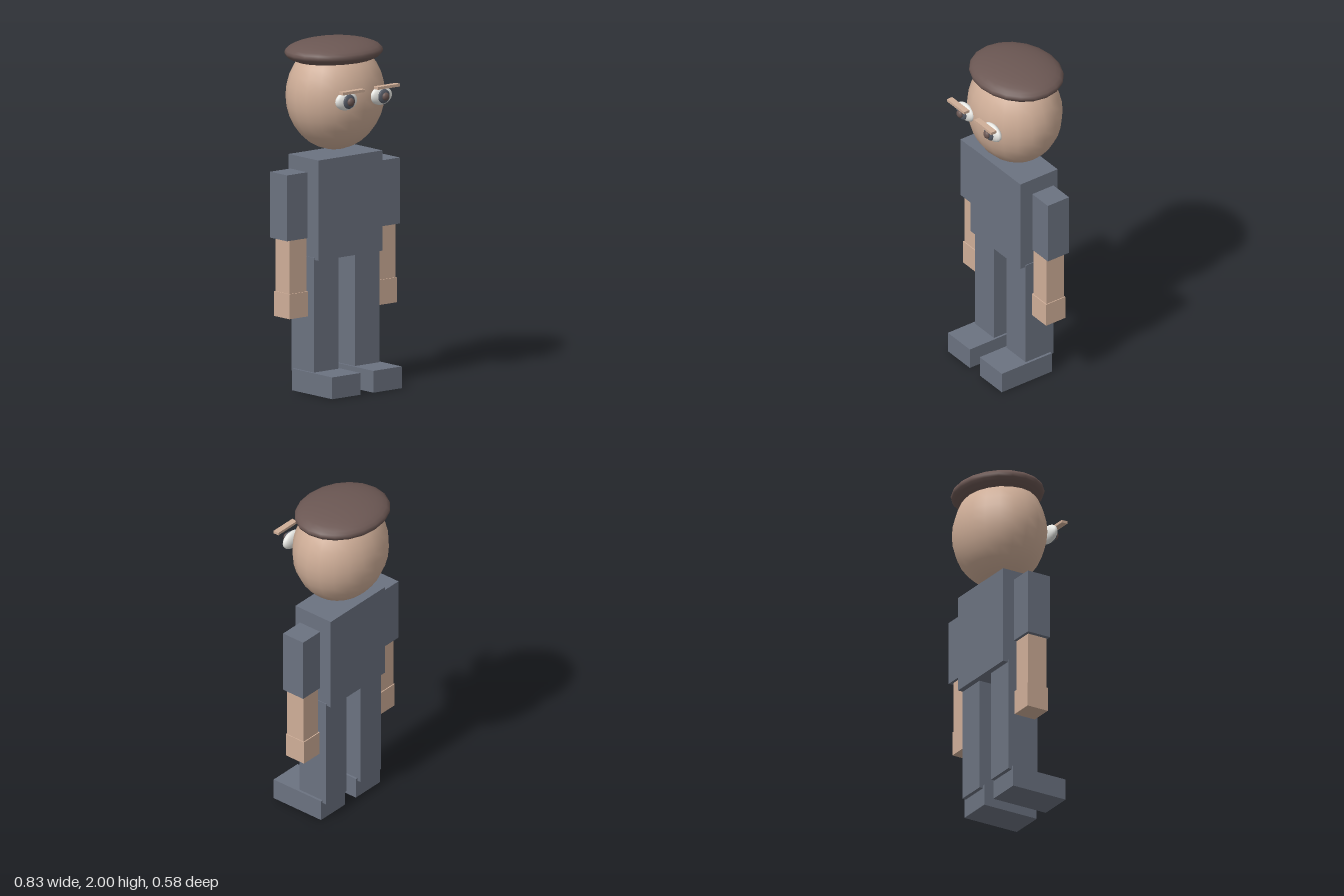
import * as THREE from 'three';

const mat = (name, color) => {
  const m = new THREE.MeshStandardMaterial({ color });
  m.name = name;
  return m;
};

export function createModel() {
  const model = new THREE.Group();
  model.name = 'figure';

  const cloth = mat('slate cloth', 0x6b7280);
  const skin = mat('skin', 0xcfae98);
  const brown = mat('dark brown', 0x6b5753);
  const white = mat('eye white', 0xe8e8e4);
  const iris = mat('iris grey', 0x565b66);

  // box given by its lower and upper limits on each axis
  const box = (name, m, x, y, z) => {
    const mesh = new THREE.Mesh(
      new THREE.BoxGeometry(x[1] - x[0], y[1] - y[0], z[1] - z[0]), m);
    mesh.position.set((x[0] + x[1]) / 2, (y[0] + y[1]) / 2, (z[0] + z[1]) / 2);
    mesh.name = name;
    model.add(mesh);
  };

  // stretched ball given by centre and radii
  const ball = (name, m, c, r) => {
    const geo = new THREE.SphereGeometry(1, 20, 16);
    geo.scale(...r);
    // recompute the normals smoothly for the stretched shape
    const n = geo.attributes.normal, p = geo.attributes.position;
    const v = new THREE.Vector3();
    for (let i = 0; i < p.count; i++) {
      v.set(p.getX(i) / r[0] ** 2, p.getY(i) / r[1] ** 2, p.getZ(i) / r[2] ** 2).normalize();
      n.setXYZ(i, v.x, v.y, v.z);
    }
    const mesh = new THREE.Mesh(geo, m);
    mesh.position.set(...c);
    mesh.name = name;
    model.add(mesh);
  };

  // head, hat and torso
  ball('head', skin, [0, 1.68, -0.028], [0.295, 0.315, 0.258]);
  ball('hat', brown, [0, 1.925, -0.041], [0.297, 0.075, 0.251]);
  box('torso', cloth, [-0.236, 0.236], [0.77, 1.345], [-0.155, 0.105]);

  // mirrored parts
  for (const [side, s] of [['left', 1], ['right', -1]]) {
    const span = (a, b) => (s > 0 ? [a, b] : [-b, -a]);

    // eye and brow
    ball(side + 'Eye', white, [s * 0.128, 1.69, 0.22], [0.077, 0.053, 0.03]);
    ball(side + 'Iris', iris, [s * 0.128, 1.69, 0.246], [0.041, 0.041, 0.014]);
    ball(side + 'Pupil', brown, [s * 0.128, 1.69, 0.262], [0.023, 0.023, 0.015]);
    box(side + 'Brow', skin, span(0.047, 0.21), [1.742, 1.758], [0.254, 0.29]);

    // arm
    box(side + 'Sleeve', cloth, span(0.267, 0.415), [0.895, 1.273], [-0.103, 0.045]);
    box(side + 'Forearm', skin, span(0.267, 0.39), [0.58, 0.9], [-0.086, 0.036]);
    box(side + 'Hand', skin, span(0.258, 0.395), [0.445, 0.588], [-0.092, 0.042]);

    // leg
    box(side + 'Leg', cloth, span(0.06, 0.241), [0.108, 0.782], [-0.123, 0.072]);
    box(side + 'Foot', cloth, span(0.047, 0.256), [0, 0.125], [-0.1, 0.25]);
  }

  return model;
}
